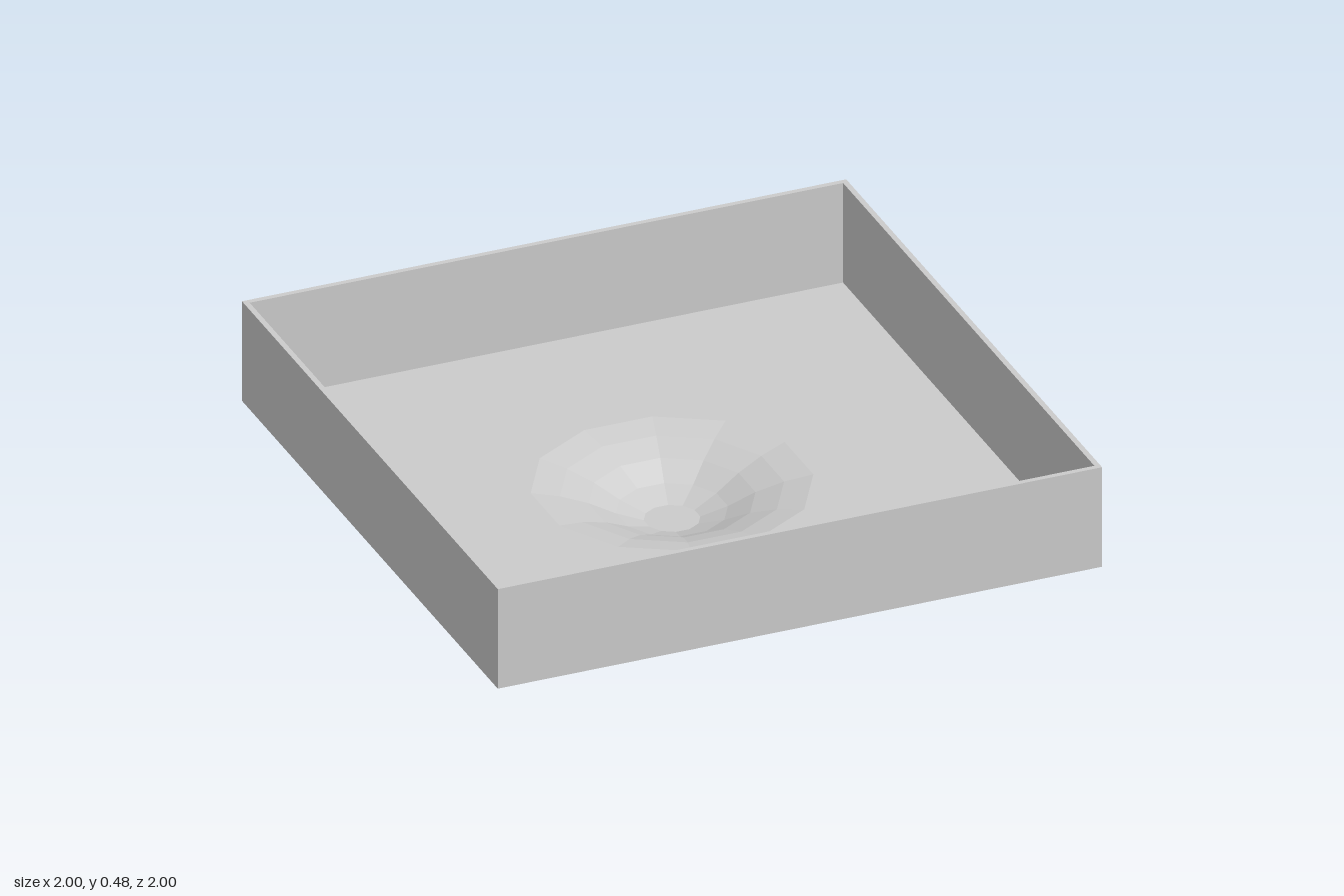
import * as THREE from 'three';

const HALF = 1, WALL = 0.018, BASE = 0.135, TOP = 0.48;
const SIDES = 12, RADIUS = 0.435, TURN = Math.PI / SIDES;

const square = (Type, h) => new Type().moveTo(-h, -h).lineTo(h, -h).lineTo(h, h).lineTo(-h, h).closePath();

export function createModel() {
  const model = new THREE.Group();
  const material = new THREE.MeshStandardMaterial({ color: 0xcccccc, flatShading: true });
  const thin = material.clone();
  thin.side = THREE.DoubleSide;

  const add = (name, geometry, mat = material) => {
    const mesh = new THREE.Mesh(geometry, mat);
    mesh.name = name;
    model.add(mesh);
    return mesh;
  };

  // Thin square wall around the tray
  const rim = square(THREE.Shape, HALF);
  rim.holes.push(square(THREE.Path, HALF - WALL));
  const wall = new THREE.ExtrudeGeometry(rim, { depth: TOP - BASE, bevelEnabled: false });
  wall.rotateX(-Math.PI / 2).translate(0, BASE, 0);
  add('trayWall', wall);

  // Floor sheet with a twelve-sided opening for the basin
  const floor = square(THREE.Shape, HALF - WALL);
  const opening = [];
  for (let i = 0; i < SIDES; i++) {
    const a = TURN + (i / SIDES) * Math.PI * 2;
    opening.push(new THREE.Vector2(RADIUS * Math.sin(a), RADIUS * Math.cos(a)));
  }
  floor.holes.push(new THREE.Path(opening));
  add('trayFloor', new THREE.ShapeGeometry(floor).rotateX(-Math.PI / 2).translate(0, BASE, 0), thin);

  // Round foot whose top is hollowed into a shallow faceted basin
  const profile = [
    [0, 0], [RADIUS, 0], [RADIUS, BASE],
    [0.345, 0.117], [0.257, 0.087], [0.172, 0.045], [0.087, 0.015], [0, 0.015],
  ].map(([r, y]) => new THREE.Vector2(r, y));
  add('basin', new THREE.LatheGeometry(profile, SIDES, TURN));

  return model;
}
